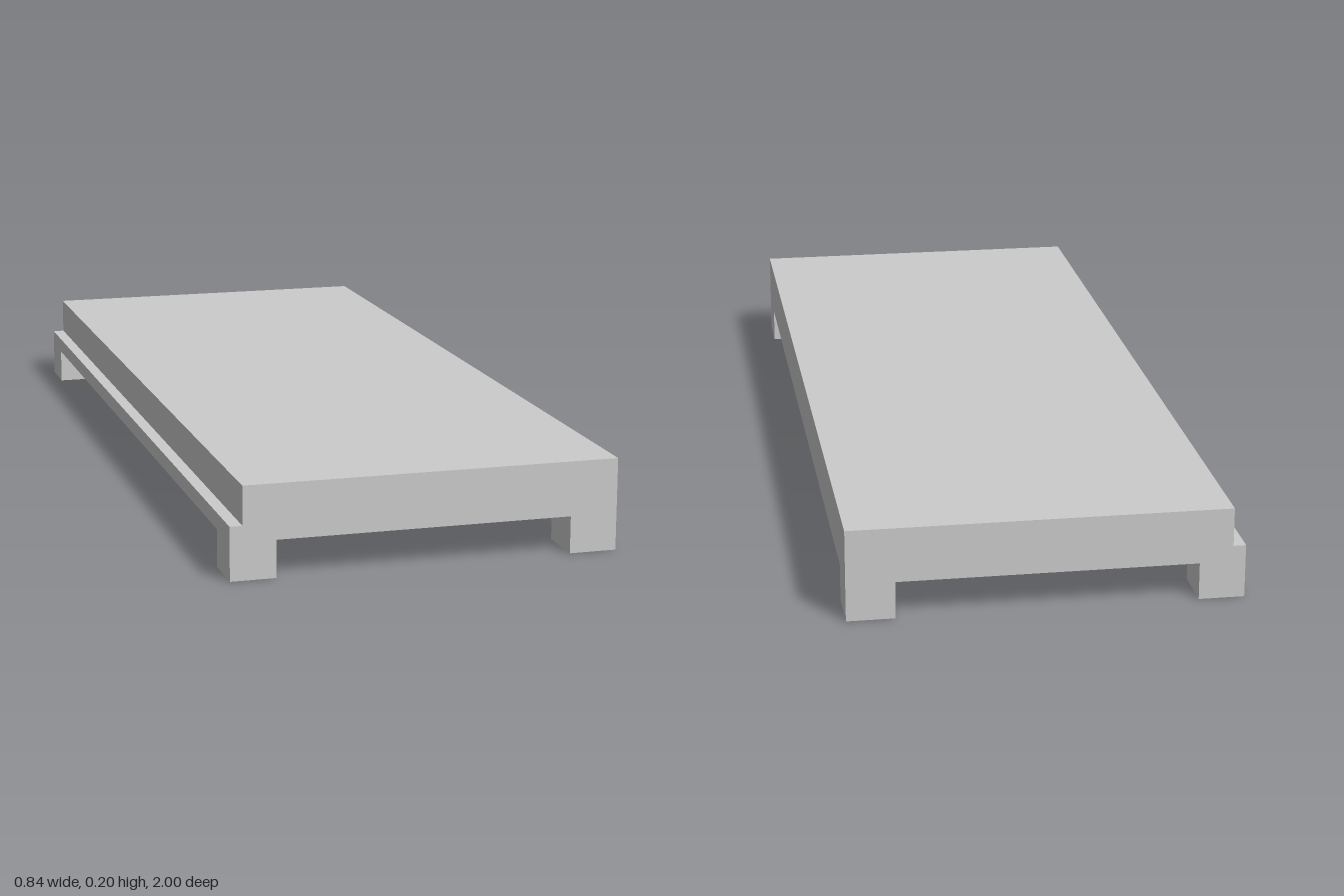
import * as THREE from 'three';

export function createModel() {
  const model = new THREE.Group();
  model.name = 'platform';
  const material = new THREE.MeshStandardMaterial({ color: 0xcccccc, flatShading: true });

  const halfWidth = 0.42, length = 2, underside = 0.081, top = 0.2;

  // Deck: slab with a narrow ledge along its -x side
  const profile = new THREE.Shape([
    [-halfWidth, underside], [halfWidth, underside], [halfWidth, top],
    [-0.393, top], [-0.393, 0.116], [-halfWidth, 0.116],
  ].map(([x, y]) => new THREE.Vector2(x, y)));
  const deckGeometry = new THREE.ExtrudeGeometry(profile, { depth: length, bevelEnabled: false });
  deckGeometry.translate(0, 0, -length / 2);
  const deck = new THREE.Mesh(deckGeometry, material);
  deck.name = 'deck';
  model.add(deck);

  // Four short feet flush with the corners
  const footDepth = 0.108;
  for (const [side, sx, footWidth] of [['Left', 1, 0.103], ['Right', -1, 0.098]]) {
    for (const [end, sz] of [['front', 1], ['back', -1]]) {
      const foot = new THREE.Mesh(new THREE.BoxGeometry(footWidth, underside, footDepth), material);
      foot.name = `${end}${side}Foot`;
      foot.position.set(sx * (halfWidth - footWidth / 2), underside / 2, sz * (length - footDepth) / 2);
      model.add(foot);
    }
  }
  return model;
}
